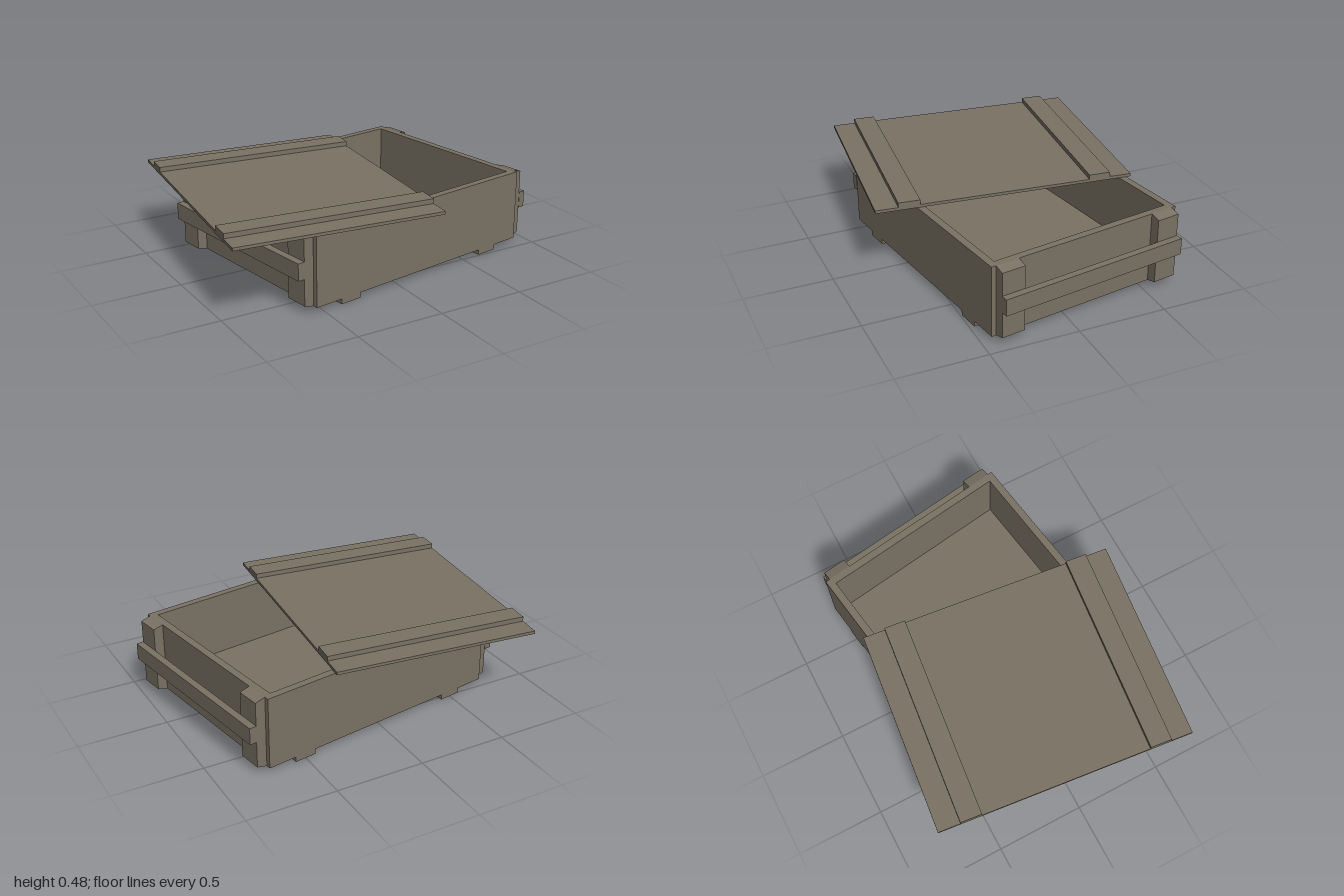
import * as THREE from 'three';

const wood = new THREE.MeshStandardMaterial({ color: 0x7a7264 });
wood.name = 'weathered wood';

function add(parent, name, geometry, x = 0, y = 0, z = 0) {
  const mesh = new THREE.Mesh(geometry, wood);
  mesh.name = name;
  mesh.position.set(x, y, z);
  parent.add(mesh);
  return mesh;
}

// Box given by its size, bottom height and centre
function plank(parent, name, w, h, d, x, bottom, z) {
  return add(parent, name, new THREE.BoxGeometry(w, h, d), x, bottom + h / 2, z);
}

function rectangle(PathType, hx, hy) {
  return new PathType([[-hx, -hy], [hx, -hy], [hx, hy], [-hx, hy]].map(p => new THREE.Vector2(...p)));
}

function createCrate() {
  const crate = new THREE.Group();
  crate.name = 'crate';
  const hx = 0.733, hz = 0.582, wall = 0.042, bottom = 0.03, top = 0.436;

  // Four walls as one open frame
  const frame = rectangle(THREE.Shape, hx, hz);
  frame.holes.push(rectangle(THREE.Path, hx - wall, hz - wall));
  const walls = new THREE.ExtrudeGeometry(frame, { depth: top - bottom, bevelEnabled: false });
  walls.rotateX(-Math.PI / 2);
  add(crate, 'walls', walls, 0, bottom, 0);
  plank(crate, 'floor', 2 * (hx - wall), 0.04, 2 * (hz - wall), 0, bottom, 0);

  // Upright end post with sloped top and bottom
  const profile = new THREE.Shape([
    [hx, bottom], [0.79, 0.045], [0.79, 0.421], [hx, top],
  ].map(p => new THREE.Vector2(...p)));
  const postGeometry = new THREE.ExtrudeGeometry(profile, { depth: 0.135, bevelEnabled: false });
  postGeometry.translate(0, 0, -0.0675);

  for (const side of [1, -1]) {
    const end = side > 0 ? 'left' : 'right';
    for (const z of [-0.488, 0.488]) {
      const post = add(crate, `${end}Post`, postGeometry, 0, 0, z);
      if (side < 0) post.rotation.y = Math.PI;
    }
    plank(crate, `${end}HandleRail`, 0.04, 0.095, 1.115, side * 0.81, 0.196, 0);
    plank(crate, `${end}Runner`, 0.126, bottom, 2 * hz, side * 0.506, 0, 0);
  }
  crate.position.set(0.09, 0, -0.015);
  crate.rotation.y = 0.155;
  return crate;
}

function createLid() {
  const lid = new THREE.Group();
  lid.name = 'lid';
  plank(lid, 'lidPanel', 1.163, 0.017, 1.459, 0, 0.437, 0);
  for (const z of [-0.543, 0.543]) plank(lid, 'lidBatten', 1.163, 0.027, 0.121, 0, 0.454, z);
  lid.position.x = -0.342;
  lid.rotation.y = -0.108;
  return lid;
}

export function createModel() {
  const model = new THREE.Group();
  model.name = 'openCrate';
  model.add(createCrate(), createLid());
  return model;
}
